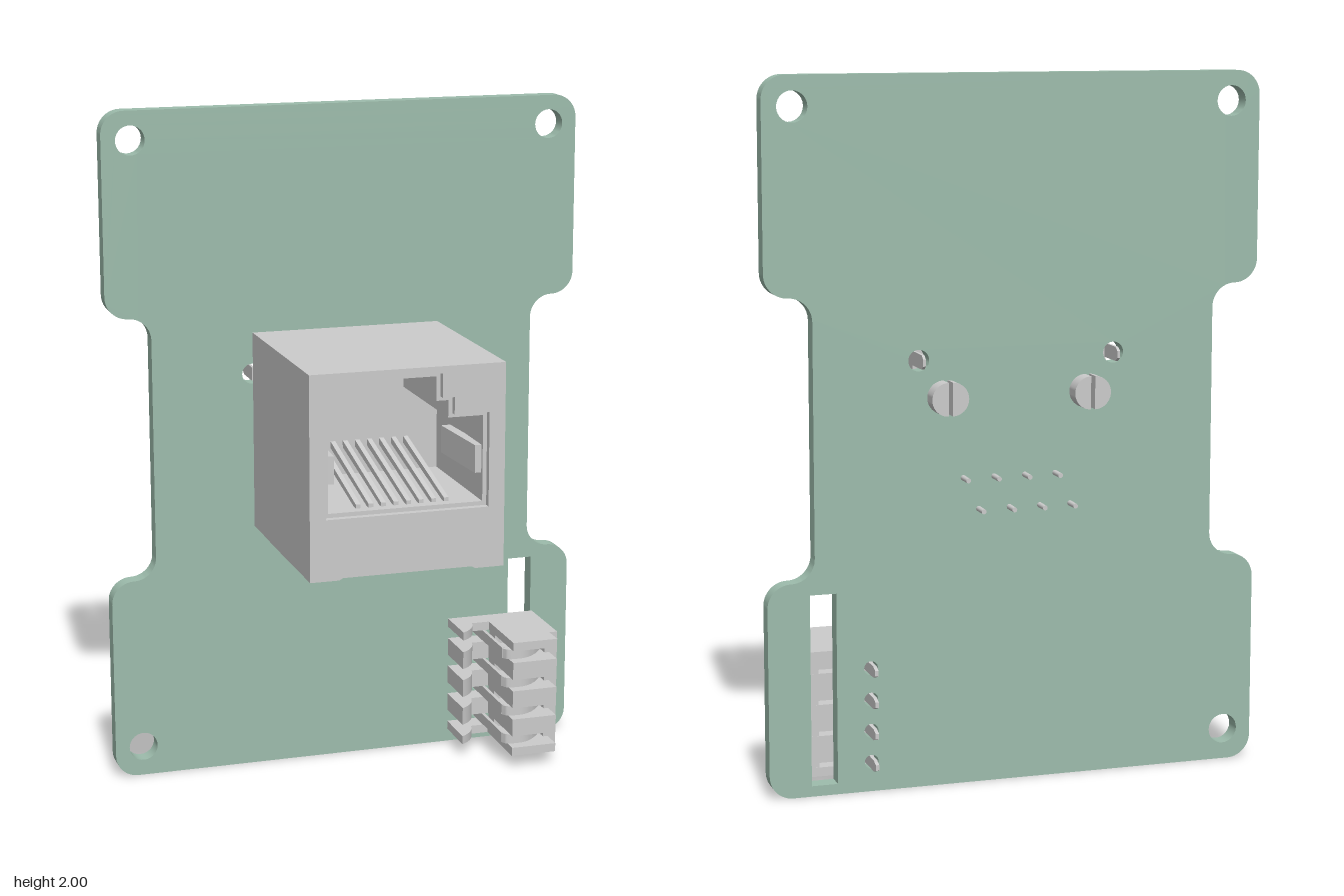
import * as THREE from 'three';
import { toCreasedNormals } from 'three/addons/utils/BufferGeometryUtils.js';

const grey = new THREE.MeshStandardMaterial({ color: 0xcccccc });
const green = new THREE.MeshStandardMaterial({ color: 0x9dbcac });

function add(parent, name, geometry, material = grey) {
  const mesh = new THREE.Mesh(geometry, material);
  mesh.name = name;
  parent.add(mesh);
  return mesh;
}

// Box given by its limits on each axis
function box(parent, name, [x0, x1], [y0, y1], [z0, z1]) {
  const mesh = add(parent, name, new THREE.BoxGeometry(x1 - x0, y1 - y0, z1 - z0));
  mesh.position.set((x0 + x1) / 2, (y0 + y1) / 2, (z0 + z1) / 2);
  return mesh;
}

const polygon = (pts) => new THREE.Shape(pts.map(([x, y]) => new THREE.Vector2(x, y)));

function extrude(shape, depth, segments = 10) {
  const g = new THREE.ExtrudeGeometry(shape, { depth, bevelEnabled: false, curveSegments: segments });
  return toCreasedNormals(g, 0.6);
}

// Closed outline with every corner rounded
function roundedOutline(pts, r) {
  const shape = new THREE.Shape();
  const n = pts.length;
  pts.forEach((p, i) => {
    const c = new THREE.Vector2(...p);
    const toward = (q, d) => new THREE.Vector2(...q).sub(c).setLength(d).add(c);
    const prev = pts[(i + n - 1) % n], next = pts[(i + 1) % n];
    const a = toward(prev, r), b = toward(next, r);
    const ca = toward(prev, r * 0.45), cb = toward(next, r * 0.45);
    if (i === 0) shape.moveTo(a.x, a.y); else shape.lineTo(a.x, a.y);
    shape.bezierCurveTo(ca.x, ca.y, cb.x, cb.y, b.x, b.y);
  });
  shape.closePath();
  return shape;
}

const contactY = [0.085, 0.175, 0.265, 0.355];

// Board with waisted sides, mounting holes and a slot
function buildBoard(parent) {
  const side = [[0.72, 0], [0.72, 0.61], [0.585, 0.61], [0.585, 1.4], [0.72, 1.4], [0.72, 2]];
  const mirrored = side.map(([x, y]) => [-x, y]).reverse();
  const shape = roundedOutline([...side, ...mirrored], 0.067);
  const hole = (x, y, r) => shape.holes.push(new THREE.Path().absarc(x, y, r, 0, Math.PI * 2, true));
  hole(-0.635, 1.915, 0.043);
  hole(0.635, 1.915, 0.043);
  hole(-0.635, 0.09, 0.043);
  for (const s of [-1, 1]) hole(s * 0.285, 1.215, 0.03);
  for (const y of contactY) hole(0.427, y, 0.02);
  shape.holes.push(polygon([[0.525, 0.03], [0.525, 0.575], [0.6, 0.575], [0.6, 0.03]]));
  add(parent, 'board', extrude(shape, 0.05, 14), green).position.z = -0.295;
}

// Stepped socket opening, shrunk by an inset
function socketOpening(i) {
  const half = [[0.238 - i, 0.927 + i], [0.238 - i, 1.2 - i], [0.135 - i, 1.2 - i],
    [0.135 - i, 1.25 - i], [0.1 - i, 1.25 - i], [0.1 - i, 1.32 - i]];
  return polygon([...half, ...half.map(([x, y]) => [-x, y]).reverse()]);
}

function buildSocket(parent) {
  const socket = new THREE.Group();
  socket.name = 'socket';
  parent.add(socket);

  // Housing: a lip around the opening, the hollow shell and the solid rear
  const layers = [['socketLip', 0.34, 0.02, 0], ['socketShell', -0.06, 0.4, 0.012]];
  for (const [name, z, depth, inset] of layers) {
    const shape = polygon([[-0.285, 0.75], [-0.2, 0.75], [-0.19, 0.756], [0.19, 0.756],
      [0.2, 0.75], [0.285, 0.75], [0.285, 1.34], [-0.285, 1.34]]);
    shape.holes.push(socketOpening(inset));
    add(socket, name, extrude(shape, depth)).position.z = z;
  }
  box(socket, 'socketRear', [-0.285, 0.285], [0.752, 1.34], [-0.235, -0.06]);

  for (const s of [-1, 1]) {
    // Feet, side catches and shield tabs
    for (const y of [0.8, 1.29]) {
      box(socket, 'foot', [s * 0.25 - 0.03, s * 0.25 + 0.03], [y - 0.03, y + 0.03], [-0.246, -0.235]);
    }
    box(socket, 'sideCatch', [s * 0.213 - 0.014, s * 0.213 + 0.014], [1.02, 1.1], [0.08, 0.33])
      .rotation.y = s * 0.06;
    const tab = polygon([[-0.24, 1.195], [-0.33, 1.195], [-0.345, 1.205], [-0.345, 1.225],
      [-0.33, 1.235], [-0.24, 1.235]]);
    add(socket, 'shieldTab', extrude(tab, 0.008).rotateY(-Math.PI / 2)).position.x = s * 0.283 + 0.004;

    // Split locating post
    for (const h of [-1, 1]) {
      const half = new THREE.Shape().absarc(0, 0, 0.047, -Math.PI / 2, Math.PI / 2, false);
      const post = add(socket, 'locatingPost', extrude(half, 0.115));
      post.geometry.rotateZ(h > 0 ? 0 : Math.PI);
      post.position.set(s * 0.208 + h * 0.006, 1.11, -0.345);
    }
  }

  // Eight sloping contacts and their staggered solder pins
  for (let i = 0; i < 8; i++) {
    const x = -0.13 + i * 0.037;
    const wire = polygon([[0.31, 0.935], [0.31, 0.95], [-0.06, 1.04], [-0.06, 1.02]]);
    add(socket, 'contactWire', extrude(wire.clone(), 0.014).rotateY(-Math.PI / 2)).position.x = x + 0.007;
    const pin = add(socket, 'solderPin', new THREE.CylinderGeometry(0.009, 0.007, 0.12, 12).rotateX(Math.PI / 2));
    pin.position.set(-0.158 + i * 0.045, i % 2 ? 0.88 : 0.79, -0.285);
  }
}

function buildConnector(parent) {
  const connector = new THREE.Group();
  connector.name = 'pinConnector';
  parent.add(connector);

  // Comb of five walls with hooked ends (profile in x and -z)
  const profile = new THREE.Shape();
  profile.moveTo(0.33, 0.243);
  profile.lineTo(0.33, 0.1);
  profile.quadraticCurveTo(0.375, 0.125, 0.385, 0.178);
  for (const [x, z] of [[0.44, 0.178], [0.44, -0.04], [0.58, -0.04], [0.58, 0.025],
    [0.605, 0.025], [0.605, 0.243]]) profile.lineTo(x, z);
  profile.closePath();
  const walls = [[0.04, 0.066], [0.103, 0.157], [0.193, 0.247], [0.283, 0.337], [0.374, 0.4]];
  for (const [y0, y1] of walls) {
    add(connector, 'combWall', extrude(profile, y1 - y0).rotateX(-Math.PI / 2)).position.y = y0;
  }
  box(connector, 'outerWall', [0.565, 0.605], [0.04, 0.4], [-0.242, -0.025]);
  box(connector, 'channelFloor', [0.45, 0.57], [0.045, 0.395], [-0.2, -0.15]);

  // Contacts: a tapered solder tail bent over into each channel
  for (const y of contactY) {
    const tail = polygon([[-0.01, y - 0.016], [-0.01, y + 0.016], [-0.335, y + 0.016],
      [-0.357, y + 0.008], [-0.357, y - 0.008], [-0.335, y - 0.016]]);
    add(connector, 'contactTail', extrude(tail, 0.01).rotateY(-Math.PI / 2)).position.x = 0.432;
    const bend = new THREE.Shape();
    bend.moveTo(0.422, 0.02);
    bend.quadraticCurveTo(0.422, -0.012, 0.45, -0.014);
    bend.lineTo(0.475, -0.014);
    bend.quadraticCurveTo(0.52, -0.01, 0.565, 0.06);
    bend.lineTo(0.555, 0.066);
    bend.quadraticCurveTo(0.51, 0, 0.475, -0.004);
    bend.lineTo(0.45, -0.004);
    bend.quadraticCurveTo(0.432, -0.002, 0.432, 0.02);
    add(connector, 'contactSpring', extrude(bend, 0.03).rotateX(-Math.PI / 2)).position.y = y - 0.015;
  }
}

export function createModel() {
  const model = new THREE.Group();
  model.name = 'circuitBoard';
  buildBoard(model);
  buildSocket(model);
  buildConnector(model);
  return model;
}
